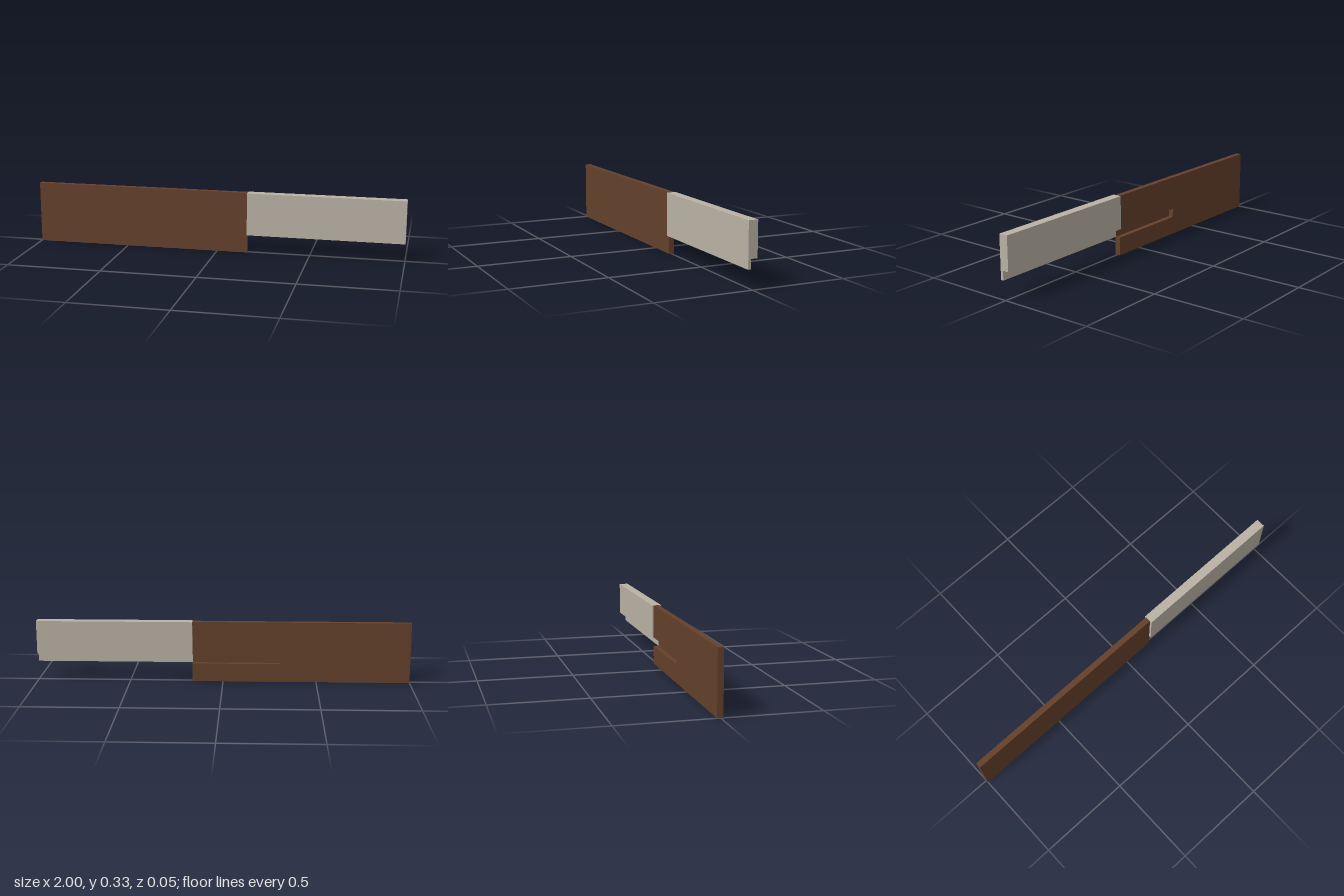
import * as THREE from 'three';

// Extrude an outline of [a, b] points by a given depth
function extrude(points, depth) {
  const shape = new THREE.Shape(points.map(([a, b]) => new THREE.Vector2(a, b)));
  return new THREE.ExtrudeGeometry(shape, { depth, bevelEnabled: false });
}

export function createModel() {
  const group = new THREE.Group();
  const brown = new THREE.MeshStandardMaterial({ color: 0x64402b });
  brown.name = 'brown wood';
  const beige = new THREE.MeshStandardMaterial({ color: 0xbab2a5 });
  beige.name = 'pale grey beige';

  const left = -1, joint = 0.164, right = 1, top = 0.327;
  const slotBottom = 0.098, slotTop = 0.147, slotEnd = -0.308;
  const back = -0.017, slotFloor = 0.01, front = 0.013;

  const add = (name, geometry, material) => {
    const mesh = new THREE.Mesh(geometry, material);
    mesh.name = name;
    group.add(mesh);
  };

  // Brown board: slotted body open to the back and to the joint
  const body = extrude([
    [left, 0], [joint, 0], [joint, slotBottom], [slotEnd, slotBottom],
    [slotEnd, slotTop], [joint, slotTop], [joint, top], [left, top],
  ], slotFloor - back);
  body.translate(0, 0, back);
  add('slottedBoard', body, brown);

  // Thin front face that closes the slot
  const skin = new THREE.BoxGeometry(joint - left, top, front - slotFloor);
  skin.translate((left + joint) / 2, top / 2, (slotFloor + front) / 2);
  add('boardFrontFace', skin, brown);

  // Pale bar with a front lip: cross-section in (-z, y), swept along x
  const bar = extrude([
    [-0.025, slotBottom], [-slotFloor, slotBottom], [-slotFloor, slotTop],
    [0.024, slotTop], [0.024, top], [-0.025, top],
  ], right - joint);
  bar.rotateY(Math.PI / 2);
  bar.translate(joint, 0, 0);
  add('lippedBar', bar, beige);

  return group;
}
